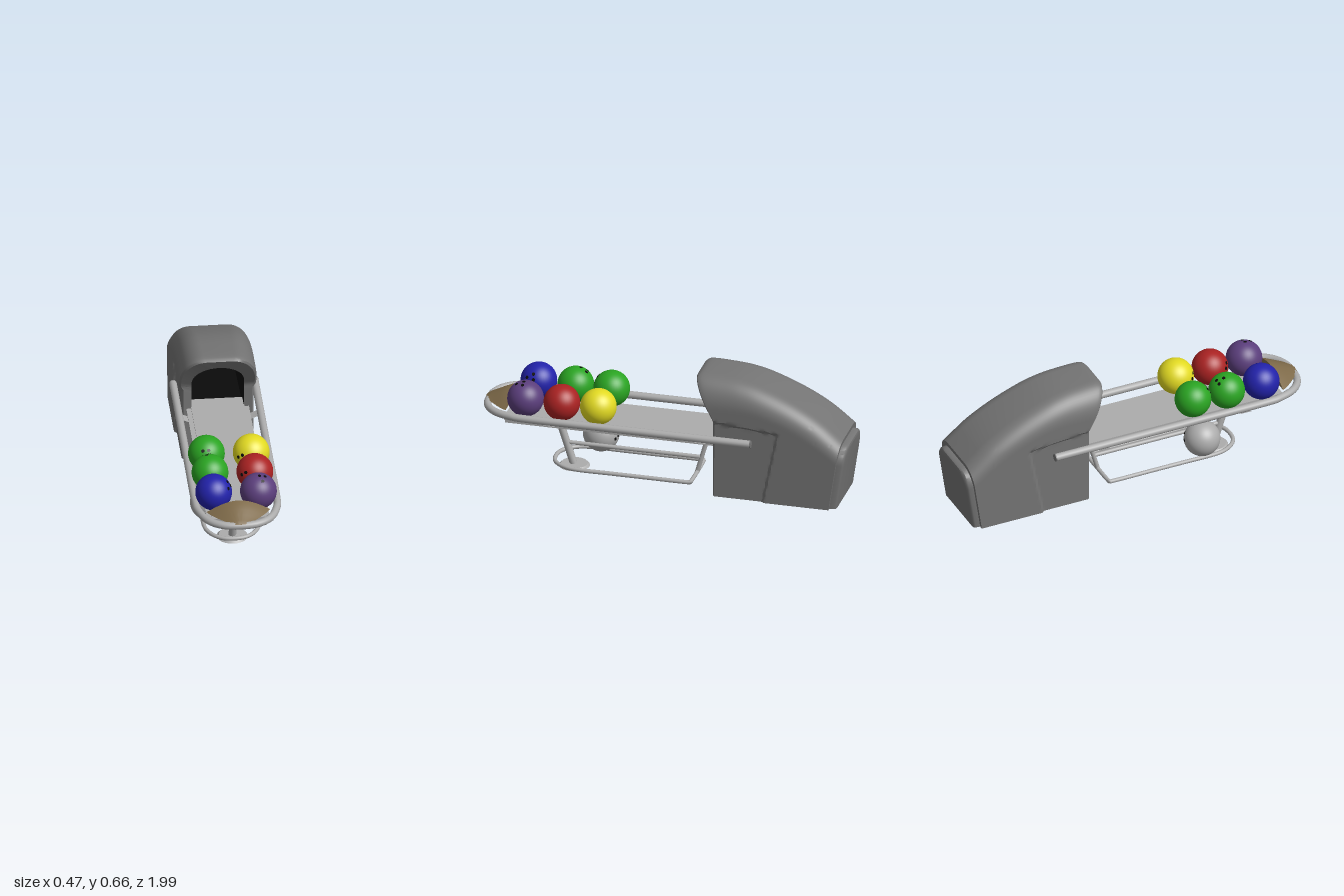
import * as THREE from 'three';
import { toCreasedNormals } from 'three/addons/utils/BufferGeometryUtils.js';

const V = (x, y, z) => new THREE.Vector3(x, y, z);
const mat = (name, color, double) => {
  const m = new THREE.MeshStandardMaterial({ color });
  m.name = name;
  if (double) m.side = THREE.DoubleSide;
  return m;
};

// Skin over rows of equal point count
function loft(rows, crease = 0.5) {
  const pos = [], idx = [], n = rows[0].length;
  rows.forEach(r => r.forEach(p => pos.push(p.x, p.y, p.z)));
  for (let i = 0; i < rows.length - 1; i++)
    for (let j = 0; j < n - 1; j++) {
      const a = i * n + j, b = a + n;
      idx.push(a, b, a + 1, a + 1, b, b + 1);
    }
  const g = new THREE.BufferGeometry();
  g.setAttribute('position', new THREE.Float32BufferAttribute(pos, 3));
  g.setIndex(idx);
  return toCreasedNormals(g, crease);
}

// Arch outline from bottom right over the top to bottom left
function arch(w, h, rx, ry) {
  const half = [], side = 36, corner = 14;
  for (let i = 0; i < side; i++) half.push([w, (h - ry) * i / side]);
  for (let i = 0; i <= corner; i++) {
    const a = i / corner * Math.PI / 2;
    half.push([w - rx + rx * Math.cos(a), h - ry + ry * Math.sin(a)]);
  }
  return [...half.map(([x, y]) => [-x, y]), ...half.reverse()];
}

// Slanted front and back planes of the housing
const frontZ = y => y < 0.44 ? -0.28 : -0.28 + Math.min((y - 0.44) / 0.205, 1) * 0.11;
const backZ = y => -0.91 - 0.055 * y / 0.37;

export function createModel() {
  const root = new THREE.Group();
  root.name = 'bowlingBallReturn';
  const housingGrey = mat('housing grey', 0x747474, true);
  const metal = mat('light grey', 0xacacac, true);
  const black = mat('black', 0x0b0b0b, true);
  const tan = mat('tan', 0x7e6a49, true);
  const blue = mat('blue', 0x2222aa), purple = mat('purple', 0x5b3e7c);
  const red = mat('red', 0xaa2222), green = mat('green', 0x2aa422), yellow = mat('yellow', 0xe2da22);

  const add = (name, geo, material, parent = root, x = 0, y = 0, z = 0) => {
    const m = new THREE.Mesh(geo, material);
    m.name = name;
    m.position.set(x, y, z);
    parent.add(m);
    return m;
  };
  const tube = (name, pts, r, closed = false, tension = 0.5) => add(name,
    new THREE.TubeGeometry(new THREE.CatmullRomCurve3(pts, closed, 'catmullrom', tension), 120, r, 14, closed), metal);
  const rod = (name, a, b, r) => {
    const m = add(name, new THREE.CylinderGeometry(r, r, a.distanceTo(b), 18), metal);
    m.position.copy(a).add(b).multiplyScalar(0.5);
    m.quaternion.setFromUnitVectors(V(0, 1, 0), b.clone().sub(a).normalize());
    return m;
  };

  // Housing shell, with sunken side panels
  const housing = new THREE.Group();
  housing.name = 'housing';
  root.add(housing);
  const top = new THREE.SplineCurve([[-0.17, 0.648], [-0.2, 0.662], [-0.3, 0.659], [-0.4, 0.648], [-0.5, 0.62],
    [-0.65, 0.555], [-0.8, 0.475], [-0.965, 0.37]].map(p => new THREE.Vector2(...p))).getSpacedPoints(70);
  const shell = top.map((p, i) => {
    const u = (p.x + 0.17) / -0.795, r = 0.125 - 0.025 * u;
    return arch(i ? 0.203 : 0.194, p.y, r, 0.16 - 0.06 * u).map(([x, y]) => {
      const z = THREE.MathUtils.lerp(frontZ(y), backZ(y), u);
      const d = Math.min(z + 0.56 + 0.2 * y, 0.44 + (z + 0.28) * 0.09 - y);
      return V(x - Math.sign(x) * 0.014 * THREE.MathUtils.smoothstep(d, 0, 0.018), y, z);
    });
  });
  add('shell', loft(shell), housingGrey, housing);
  const last = shell[shell.length - 1];
  add('shellBack', loft([last, last.map(p => V(0, p.y, p.z))]), housingGrey, housing);

  // Front frame around the opening and the panel below it
  const mouth = arch(0.138, 0.59, 0.138, 0.12);
  add('frontFrame', loft([shell[0], mouth.map(([x, y]) => V(x, y, frontZ(y) - 0.006))]), housingGrey, housing);
  add('frontPanel', new THREE.BoxGeometry(0.28, 0.29, 0.008), housingGrey, housing, 0, 0.145, -0.288);

  // Dark tunnel behind the opening
  const tunnelRow = (pts, zAt) => {
    const r = pts.map(([x, y]) => V(x, Math.max(y, 0.28), zAt(y)));
    return [...r, r[0].clone()];
  };
  const deep = tunnelRow(arch(0.13, 0.44, 0.12, 0.1), () => -0.75);
  add('tunnel', loft([tunnelRow(mouth, y => frontZ(y) - 0.006), deep, deep.map(p => V(0, p.y, p.z))]), black, housing);

  // Raised rear cover
  const cover = [[0.182, 0.345, -0.003], [0.18, 0.343, 0.024], [0.174, 0.337, 0.033], [0.162, 0.325, 0.037], [0, 0.325, 0.037]]
    .map(([w, h, t]) => arch(w || 0.162, h, 0.09, 0.09).map(([x, y]) => V(w ? x : 0, y, backZ(y) - t)));
  add('rearCover', loft(cover, 0.7), housingGrey, housing);

  // Lane with side flanges
  add('lane', new THREE.BoxGeometry(0.28, 0.045, 1.22), metal, root, 0, 0.29, 0.25);
  add('laneFlange', new THREE.BoxGeometry(0.33, 0.01, 1.14), metal, root, 0, 0.3, 0.29);

  // U-shaped guard rail with dark end caps
  const bend = [[0.215, -0.49], [0.215, -0.1], [0.215, 0.3], [0.215, 0.72], [0.203, 0.82], [0.165, 0.91], [0.095, 0.965]];
  tube('guardRail', [...bend.map(([x, z]) => V(x, 0.337, z)), V(0, 0.337, 0.98),
    ...bend.slice().reverse().map(([x, z]) => V(-x, 0.337, z))], 0.02);
  for (const s of [1, -1]) {
    const cap = add('railEnd', new THREE.CylinderGeometry(0.02, 0.02, 0.006, 18), housingGrey, root, s * 0.215, 0.337, -0.491);
    cap.rotation.x = Math.PI / 2;
  }

  // Curved bands carrying the lane between the rails
  for (const z of [0.61, -0.205]) {
    const band = dz => Array.from({ length: 25 }, (_, i) => {
      const t = i / 12 - 1;
      return V(t * 0.23, 0.257 + 0.06 * t * t, z + dz);
    });
    add('laneBand', loft([band(-0.03), band(0.03)]), metal);
  }

  // Tan nose hood and its flat underside
  const noseRows = [[0.85, 0.168, 0.062], [0.88, 0.15, 0.055], [0.91, 0.125, 0.042], [0.94, 0.096, 0.028],
    [0.97, 0.066, 0.013], [0.99, 0.04, 0.004], [0.995, 0.005, 0.001]];
  const nose = hScale => noseRows.map(([z, w, h]) => Array.from({ length: 25 }, (_, i) => {
    const t = i / 12 - 1;
    return V(t * w, 0.352 + h * hScale * Math.cos(t * Math.PI / 2), z);
  }));
  const hood = nose(1), under = nose(0);
  add('noseHood', loft(hood), tan);
  add('noseUnderside', loft(under), tan);
  add('noseBack', loft([under[0], hood[0]]), tan);

  // Support post, foot, and lower frame
  rod('frontPost', V(0, 0.01, 0.525), V(0, 0.275, 0.61), 0.02);
  add('foot', new THREE.CylinderGeometry(0.07, 0.082, 0.012, 36), metal, root, 0, 0.006, 0.52);
  const loop = [[0.145, -0.13], [0.145, 0.1], [0.145, 0.3], [0.145, 0.47], [0.122, 0.55], [0.07, 0.605]];
  tube('lowerLoop', [...loop.map(([x, z]) => V(x, 0.043, z)), V(0, 0.043, 0.62),
    ...loop.slice().reverse().map(([x, z]) => V(-x, 0.043, z)),
    V(-0.132, 0.043, -0.145), V(0, 0.043, -0.147), V(0.132, 0.043, -0.145)], 0.011, true);
  rod('middleBar', V(0, 0.128, 0.56), V(0, 0.128, -0.165), 0.011);
  rod('rearStrut', V(0, 0.04, -0.145), V(0, 0.27, -0.21), 0.012);

  // Balls, each with three finger holes around a direction
  const R = 0.0965;
  const ball = (name, material, x, y, z, dir) => {
    const g = new THREE.Group();
    g.name = name;
    g.position.set(x, y, z);
    root.add(g);
    add('ballBody', new THREE.SphereGeometry(R, 40, 28), material, g);
    const q = new THREE.Quaternion().setFromUnitVectors(V(0, 1, 0), dir.normalize());
    for (const [hx, hz] of [[-0.16, -0.12], [0.16, -0.12], [0, 0.28]]) {
      const n = V(hx, 1, hz).normalize().applyQuaternion(q);
      const hole = add('fingerHole', new THREE.CylinderGeometry(0.009, 0.009, 0.003, 14), black, g);
      hole.position.copy(n).multiplyScalar(R - 0.0005);
      hole.quaternion.setFromUnitVectors(V(0, 1, 0), n);
    }
  };
  ball('blueBall', blue, -0.12, 0.41, 0.745, V(0.8, 0.5, 0.2));
  ball('frontGreenBall', green, -0.12, 0.41, 0.545, V(-0.15, 0.85, -0.5));
  ball('rearGreenBall', green, -0.12, 0.41, 0.35, V(-0.1, 0.5, 0.8));
  ball('purpleBall', purple, 0.115, 0.41, 0.755, V(0.2, 0.95, 0.2));
  ball('redBall', red, 0.115, 0.41, 0.558, V(-0.6, 0.2, 0.7));
  ball('yellowBall', yellow, 0.115, 0.41, 0.36, V(-0.6, 0.1, 0.75));
  ball('greyBall', metal, -0.115, 0.145, 0.405, V(0.3, 0.1, -0.9));
  return root;
}
